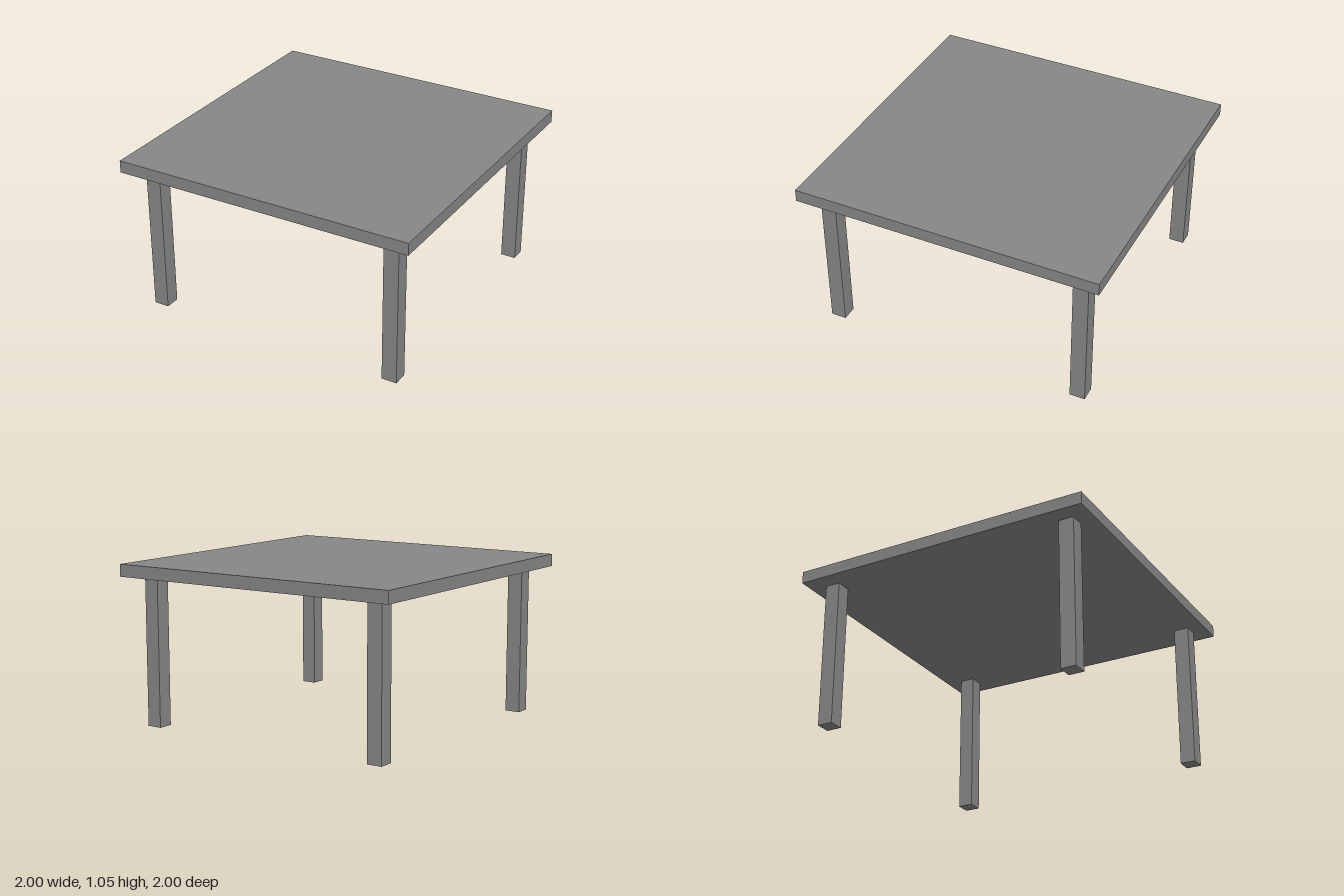
import * as THREE from 'three';

export function createModel() {
  const table = new THREE.Group();
  table.name = 'table';
  const material = new THREE.MeshStandardMaterial({ color: 0x878787, flatShading: true });

  const height = 1.047, topThickness = 0.08, legWidth = 0.1;
  const legHeight = height - topThickness;

  // Square slab top
  const top = new THREE.Mesh(new THREE.BoxGeometry(2, topThickness, 2), material);
  top.name = 'tableTop';
  top.position.y = height - topThickness / 2;
  table.add(top);

  // Four square legs, inset from the corners; the front left one sits slightly further out
  const legGeometry = new THREE.BoxGeometry(legWidth, legHeight, legWidth);
  const legs = [
    ['frontLeftLeg', 0.838, 0.848],
    ['frontRightLeg', -0.838, 0.84],
    ['backLeftLeg', 0.838, -0.842],
    ['backRightLeg', -0.838, -0.842],
  ];
  for (const [name, x, z] of legs) {
    const leg = new THREE.Mesh(legGeometry, material);
    leg.name = name;
    leg.position.set(x, legHeight / 2, z);
    table.add(leg);
  }

  return table;
}
